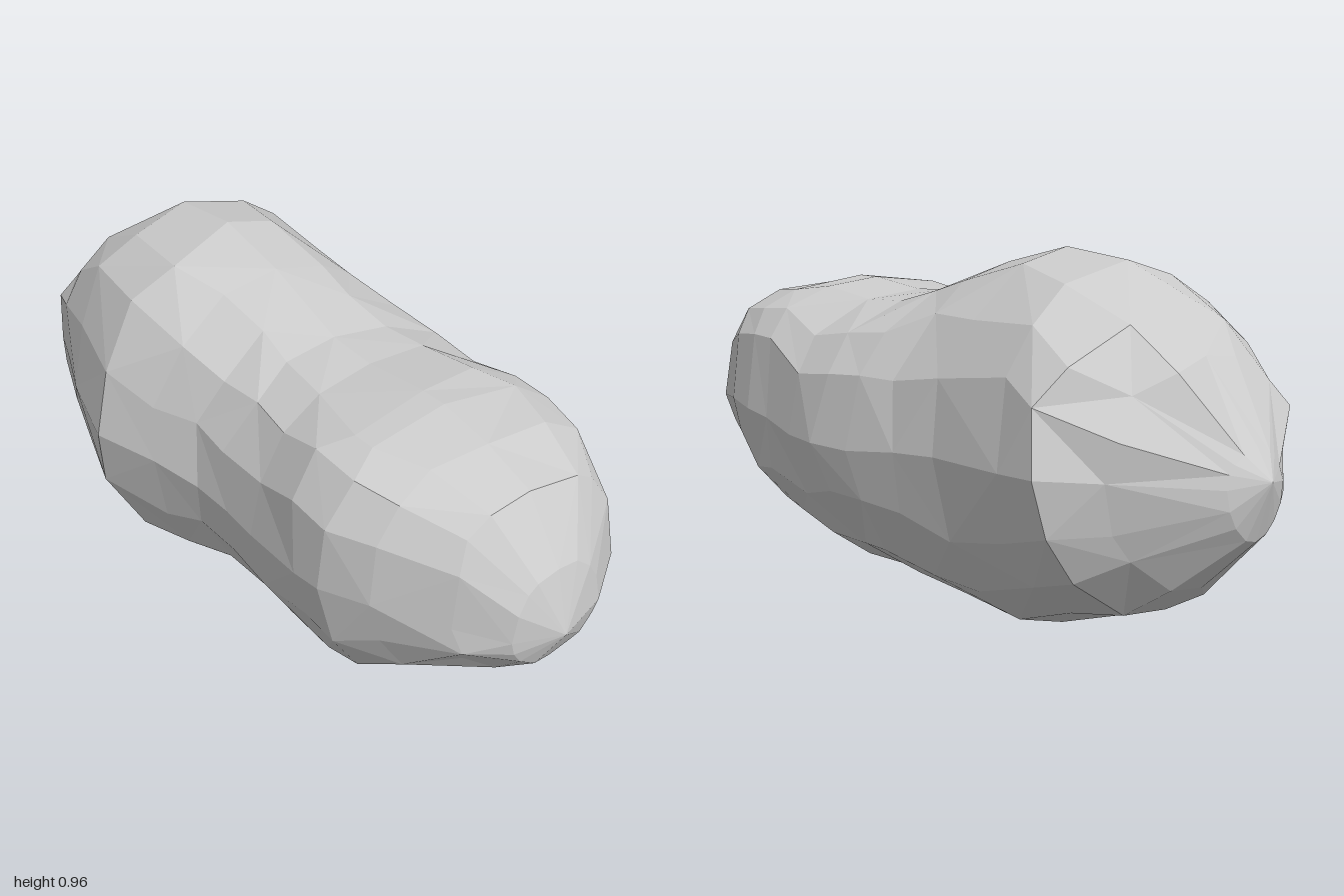
import * as THREE from 'three';

// Cross-sections along x: [x, height of widest point, top, bottom, front z, back z, upper squareness, lower squareness]
const SECTIONS = [
  [-0.95, 0.47, 0.55, 0.34, 0.08, -0.10, 2.0, 2.0],
  [-0.81, 0.49, 0.74, 0.20, 0.27, -0.32, 2.2, 2.0],
  [-0.69, 0.50, 0.83, 0.12, 0.32, -0.45, 2.3, 2.0],
  [-0.54, 0.49, 0.94, 0.08, 0.38, -0.43, 2.1, 2.0],
  [-0.30, 0.48, 0.96, 0.00, 0.45, -0.40, 2.0, 2.0],
  [-0.13, 0.47, 0.91, 0.02, 0.39, -0.41, 2.0, 2.0],
  [0.01, 0.45, 0.86, 0.055, 0.35, -0.43, 2.1, 2.0],
  [0.14, 0.45, 0.82, 0.065, 0.35, -0.44, 2.3, 2.0],
  [0.28, 0.45, 0.81, 0.058, 0.36, -0.42, 2.6, 2.0],
  [0.47, 0.47, 0.83, 0.07, 0.38, -0.39, 3.0, 2.0],
  [0.57, 0.48, 0.83, 0.095, 0.38, -0.38, 3.0, 2.0],
  [0.70, 0.49, 0.80, 0.19, 0.33, -0.35, 3.2, 2.0],
  [0.85, 0.47, 0.75, 0.285, 0.22, -0.27, 3.0, 2.0],
  [0.95, 0.45, 0.60, 0.35, 0.13, -0.14, 2.4, 2.0],
];
const TIPS = [[-1, 0.485, -0.01], [1, 0.45, 0.01]];
const SIDES = 16;

function seeded(seed) {
  return () => {
    seed = (seed * 16807) % 2147483647;
    return seed / 2147483647 - 0.5;
  };
}

function rockGeometry() {
  const rand = seeded(4711);
  const points = [];
  const index = [];
  const last = SECTIONS.length - 1;

  // Rounded, slightly irregular rings
  SECTIONS.forEach(([x, mid, top, bottom, front, back, upper, lower], i) => {
    const wobble = i === 0 || i === last ? 0.01 : 0.05;
    for (let j = 0; j < SIDES; j++) {
      const onAxis = j % (SIDES / 4) === 0;
      const a = ((j + (onAxis ? 0 : rand() * 0.4)) / SIDES) * Math.PI * 2;
      const c = Math.cos(a), s = Math.sin(a);
      const power = 2 / (s > 0 ? upper : lower);
      const swell = onAxis ? 1 : 1 + rand() * 0.035;
      const z = Math.sign(c) * Math.abs(c) ** power * swell;
      const y = Math.sign(s) * Math.abs(s) ** power * swell;
      points.push(
        x + rand() * wobble,
        mid + y * (y > 0 ? top - mid : mid - bottom),
        z * (z > 0 ? front : -back)
      );
    }
  });
  const tip = points.length / 3;
  points.push(...TIPS[0], ...TIPS[1]);

  // Facets between the rings, with alternating diagonals, and the two ends
  for (let j = 0; j < SIDES; j++) {
    const k = (j + 1) % SIDES;
    for (let i = 0; i < last; i++) {
      const a = i * SIDES + j, b = a + SIDES;
      const d = i * SIDES + k, c = d + SIDES;
      if ((i + j) % 2) index.push(a, b, c, a, c, d);
      else index.push(a, b, d, b, c, d);
    }
    index.push(tip, j, k);
    index.push(tip + 1, last * SIDES + k, last * SIDES + j);
  }

  const geometry = new THREE.BufferGeometry();
  geometry.setAttribute('position', new THREE.Float32BufferAttribute(points, 3));
  geometry.setIndex(index);
  const faceted = geometry.toNonIndexed();
  faceted.computeVertexNormals();
  return faceted;
}

export function createModel() {
  const group = new THREE.Group();
  group.name = 'rock';
  const body = new THREE.Mesh(
    rockGeometry(),
    new THREE.MeshStandardMaterial({ color: 0xcccccc, flatShading: true })
  );
  body.name = 'rockBody';
  group.add(body);
  return group;
}
